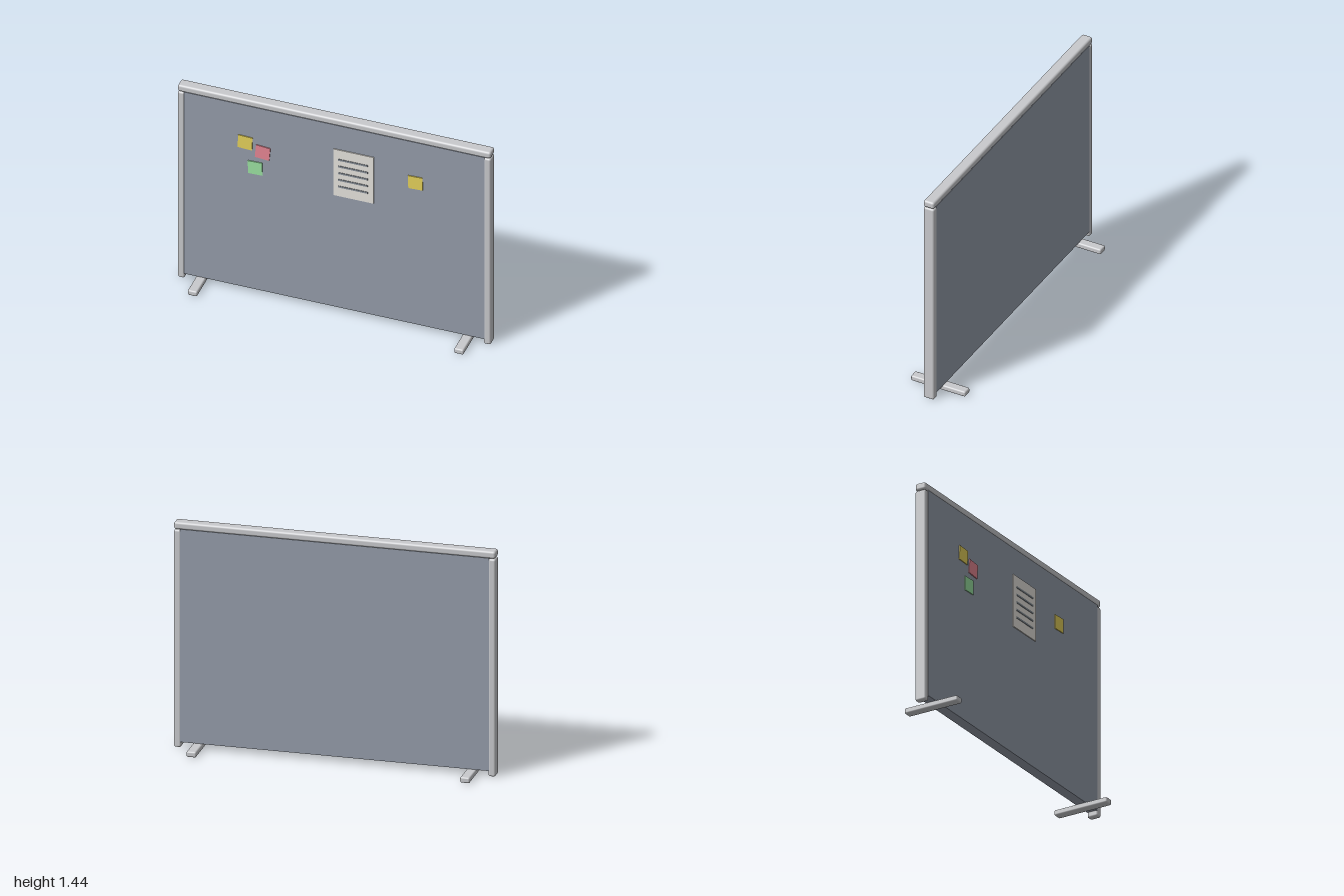
import * as THREE from 'three';
import { RoundedBoxGeometry } from 'three/addons/geometries/RoundedBoxGeometry.js';

const mat = (name, color) => {
  const m = new THREE.MeshStandardMaterial({ color });
  m.name = name;
  return m;
};

export function createModel() {
  const group = new THREE.Group();
  const metal = mat('light grey metal', 0xc9cacd);
  const fabric = mat('blue grey fabric', 0x959daa);
  const paper = mat('white paper', 0xece9e3);
  const ink = mat('grey ink', 0x8a929a);
  const yellow = mat('yellow paper', 0xe6d25b);
  const pink = mat('pink paper', 0xee8b98);
  const green = mat('green paper', 0x9be2a2);

  const add = (name, geometry, material, x, y, z, tilt = 0) => {
    const mesh = new THREE.Mesh(geometry, material);
    mesh.name = name;
    mesh.position.set(x, y, z);
    mesh.rotation.z = tilt;
    group.add(mesh);
  };

  // Fabric screen
  add('panel', new THREE.BoxGeometry(1.92, 1.36, 0.068), fabric, 0, 0.715, 0);

  // Rounded frame
  add('topRail', new RoundedBoxGeometry(2, 0.046, 0.072, 4, 0.014), metal, 0, 1.415, 0);
  for (const [side, s] of [['left', 1], ['right', -1]]) {
    add(side + 'Post', new RoundedBoxGeometry(0.044, 1.389, 0.072, 4, 0.012), metal, s * 0.978, 0.6945, 0);
    add(side + 'Foot', new RoundedBoxGeometry(0.06, 0.036, 0.372, 4, 0.01), metal, s * 0.851, 0.018, 0);
  }

  // Pinned sticky notes
  const note = new THREE.BoxGeometry(0.092, 0.092, 0.006);
  add('yellowNote', note, yellow, -0.567, 1.12, 0.037, -0.04);
  add('pinkNote', note, pink, -0.455, 1.072, 0.037, -0.08);
  add('greenNote', note, green, -0.503, 0.945, 0.037, 0.03);
  add('secondYellowNote', note, yellow, 0.521, 1.095, 0.037, 0.03);

  // Notice sheet with ruled lines
  add('noticeSheet', new THREE.BoxGeometry(0.256, 0.345, 0.006), paper, 0.127, 1.045, 0.037);
  const line = new THREE.BoxGeometry(0.188, 0.012, 0.004);
  for (let i = 0; i < 5; i++) add('noticeLine' + (i + 1), line, ink, 0.124, 1.145 - i * 0.05, 0.041);

  return group;
}
